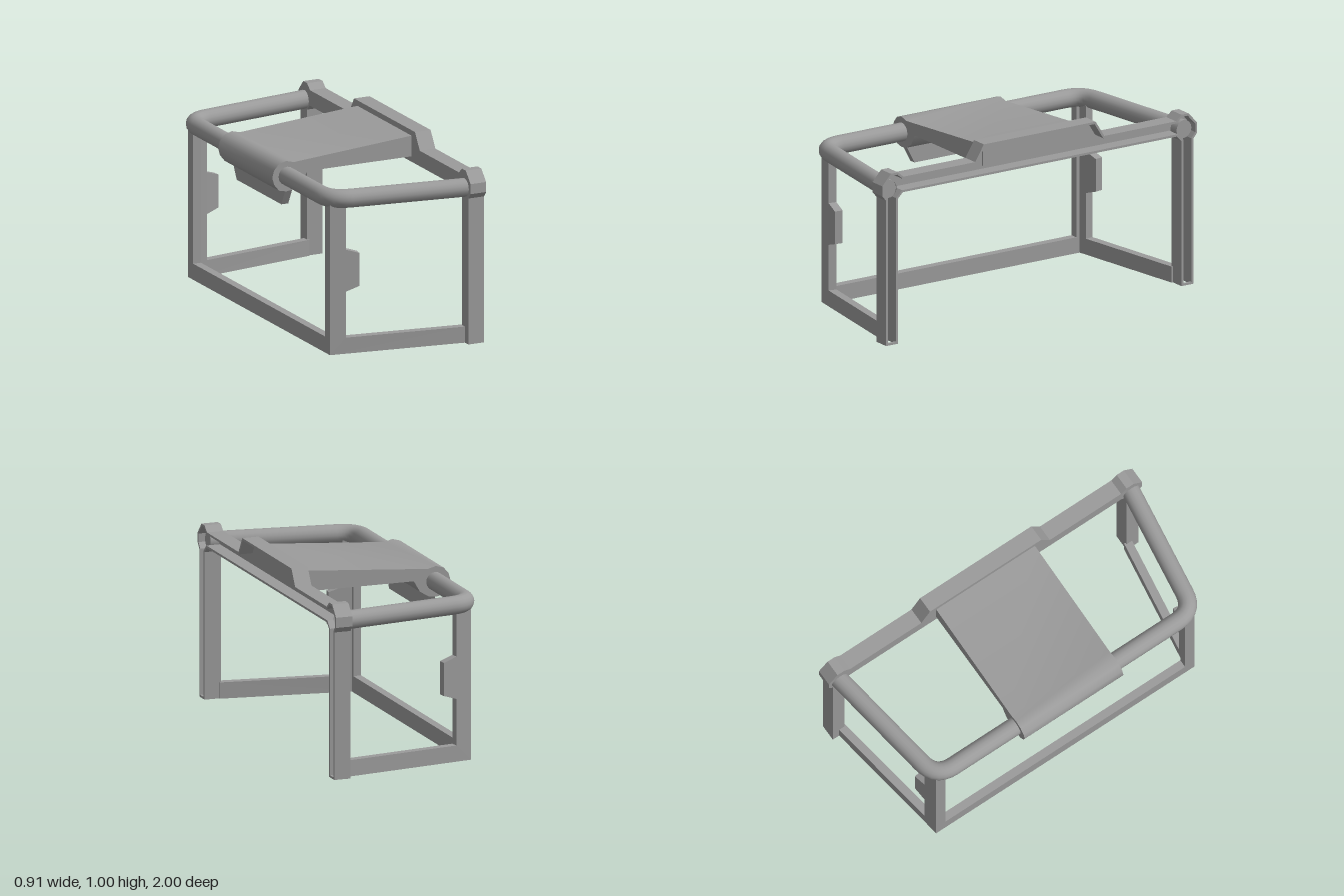
import * as THREE from 'three';
import { toCreasedNormals } from 'three/addons/utils/BufferGeometryUtils.js';

const color = 0x9b9b9b;
const mat = new THREE.MeshStandardMaterial({ color, flatShading: true, side: THREE.DoubleSide });
const smooth = new THREE.MeshStandardMaterial({ color, side: THREE.DoubleSide });

function extrude(points, depth) {
  const shape = new THREE.Shape(points.map(([x, y]) => new THREE.Vector2(x, y)));
  return new THREE.ExtrudeGeometry(shape, { depth, bevelEnabled: false });
}

// Extrude a z-y profile along x, starting at x0
function extrudeX(points, x0, depth) {
  return extrude(points.map(([z, y]) => [-z, y]), depth).rotateY(Math.PI / 2).translate(x0, 0, 0);
}

// Complete a half profile by mirroring it across z = 0
function mirrored(half) {
  return [...half, ...half.map(([z, y]) => [-z, y]).reverse()];
}

// Offset an open polyline sideways with mitred corners
function offset(points, d) {
  return points.map((p, i) => {
    const a = points[Math.max(i - 1, 0)], b = points[Math.min(i + 1, points.length - 1)];
    const normal = (q, r) => new THREE.Vector2(-(r[1] - q[1]), r[0] - q[0]).normalize();
    const n1 = i > 0 ? normal(a, p) : normal(p, b);
    const n2 = i < points.length - 1 ? normal(p, b) : n1;
    const m = n1.clone().add(n2).normalize();
    const k = d / m.dot(n1);
    return [p[0] + m.x * k, p[1] + m.y * k];
  });
}

// Leave the underside open by dropping the triangles that lie on the floor
function openBottom(geometry) {
  const g = geometry.index ? geometry.toNonIndexed() : geometry;
  const a = g.attributes.position.array;
  const kept = [];
  for (let i = 0; i < a.length; i += 9) {
    if (Math.max(a[i + 1], a[i + 4], a[i + 7]) > 0.001) kept.push(...a.slice(i, i + 9));
  }
  const result = new THREE.BufferGeometry();
  result.setAttribute('position', new THREE.Float32BufferAttribute(kept, 3));
  result.computeVertexNormals();
  return result;
}

export function createModel() {
  const model = new THREE.Group();
  const add = (name, geometry, material = mat, parent = model) => {
    const mesh = new THREE.Mesh(geometry, material);
    mesh.name = name;
    parent.add(mesh);
  };

  // Open channel arch: a thin web with raised outer and inner rims
  const arch = new THREE.Group();
  arch.name = 'channelArch';
  model.add(arch);
  const outer = mirrored([
    [0.975, 0], [0.975, 0.8], [1, 0.83], [1, 0.885], [0.945, 0.945],
    [0.9, 0.945], [0.865, 0.915], [0.41, 0.915], [0.355, 1.003],
  ]);
  const inner = mirrored([[0.9, 0], [0.9, 0.8], [0.87, 0.83]]);
  add('archWeb', extrudeX([...outer, ...[...inner].reverse()], 0.365, 0.015), mat, arch);
  add('archOuterRim', extrudeX([...outer, ...offset(outer, 0.012).reverse()], 0.365, 0.092), mat, arch);
  add('archInnerRim', extrudeX([...inner, ...offset(inner, -0.012).reverse()], 0.365, 0.092), mat, arch);

  // Bent handrail with rounded rear corners
  const y = 0.85, xr = -0.37, bend = 0.11;
  const railZ = (x) => 0.877 + 0.145 * x;
  const v = (x, z) => new THREE.Vector3(x, y, z);
  const path = new THREE.CurvePath();
  const zc = railZ(xr);
  path.add(new THREE.LineCurve3(v(0.42, railZ(0.42)), v(xr + bend, railZ(xr + bend))));
  path.add(new THREE.QuadraticBezierCurve3(v(xr + bend, railZ(xr + bend)), v(xr, zc), v(xr, zc - bend)));
  path.add(new THREE.LineCurve3(v(xr, zc - bend), v(xr, bend - zc)));
  path.add(new THREE.QuadraticBezierCurve3(v(xr, bend - zc), v(xr, -zc), v(xr + bend, -railZ(xr + bend))));
  path.add(new THREE.LineCurve3(v(xr + bend, -railZ(xr + bend)), v(0.42, -railZ(0.42))));
  add('handrail', new THREE.TubeGeometry(path, 120, 0.05, 16), smooth);

  // Splayed side frames: rear post, post tab and floor rail in one plate
  const sideFrame = [
    [-0.375, 0], [0.375, 0], [0.375, 0.088], [-0.284, 0.088], [-0.284, 0.34], [-0.209, 0.365],
    [-0.209, 0.545], [-0.284, 0.57], [-0.284, 0.82], [-0.375, 0.82],
  ];
  const splay = (points, side) => {
    const g = extrude(points, 0.045);
    const p = g.attributes.position;
    for (let i = 0; i < p.count; i++) {
      const x = p.getX(i), w = p.getZ(i) - 0.0225;
      p.setZ(i, w + side * (0.8575 + 0.15 * x));
      // Keep the post and tab edges square to the plate
      if (Math.abs(x) < 0.3) p.setX(i, x - side * 0.15 * w);
    }
    return openBottom(g);
  };
  for (const side of [1, -1]) {
    const label = side > 0 ? 'front' : 'back';
    add(label + 'SideFrame', splay(sideFrame, side));
    add(label + 'PostFlange', openBottom(
      new THREE.BoxGeometry(0.045, 0.82, 0.04).translate(-0.3525, 0.41, side * 0.785)));
    add(label + 'HandrailEnd', new THREE.CircleGeometry(0.05, 16).rotateY(Math.PI / 2)
      .translate(0.42, y, side * railZ(0.42)));
    // Lip across the mouth of the channel leg
    add(label + 'LegLip', new THREE.BoxGeometry(0.012, 0.012, 0.075).translate(0.451, 0.006, side * 0.9375), mat, arch);
  }
  add('rearFloorRail', openBottom(new THREE.BoxGeometry(0.045, 0.088, 1.56).translate(-0.3525, 0.044, 0)));

  // Wedge panel that wraps the handrail
  const panel = [
    [0.39, 0.975], [-0.33, 0.92], [-0.375, 0.932], [-0.418, 0.92], [-0.446, 0.888], [-0.457, 0.85],
    [-0.446, 0.81], [-0.418, 0.775], [-0.375, 0.765], [-0.335, 0.77], [-0.285, 0.8], [-0.25, 0.86], [0.39, 0.86],
  ];
  add('panel', toCreasedNormals(extrude(panel, 0.63).translate(0, 0, -0.315), 0.7), smooth);

  // Tapered flap below the wrap
  const flap = mirrored([[0.315, 0.785], [0.26, 0.68]]);
  add('panelFlap', extrudeX(flap, -0.375, 0.04));

  return model;
}
